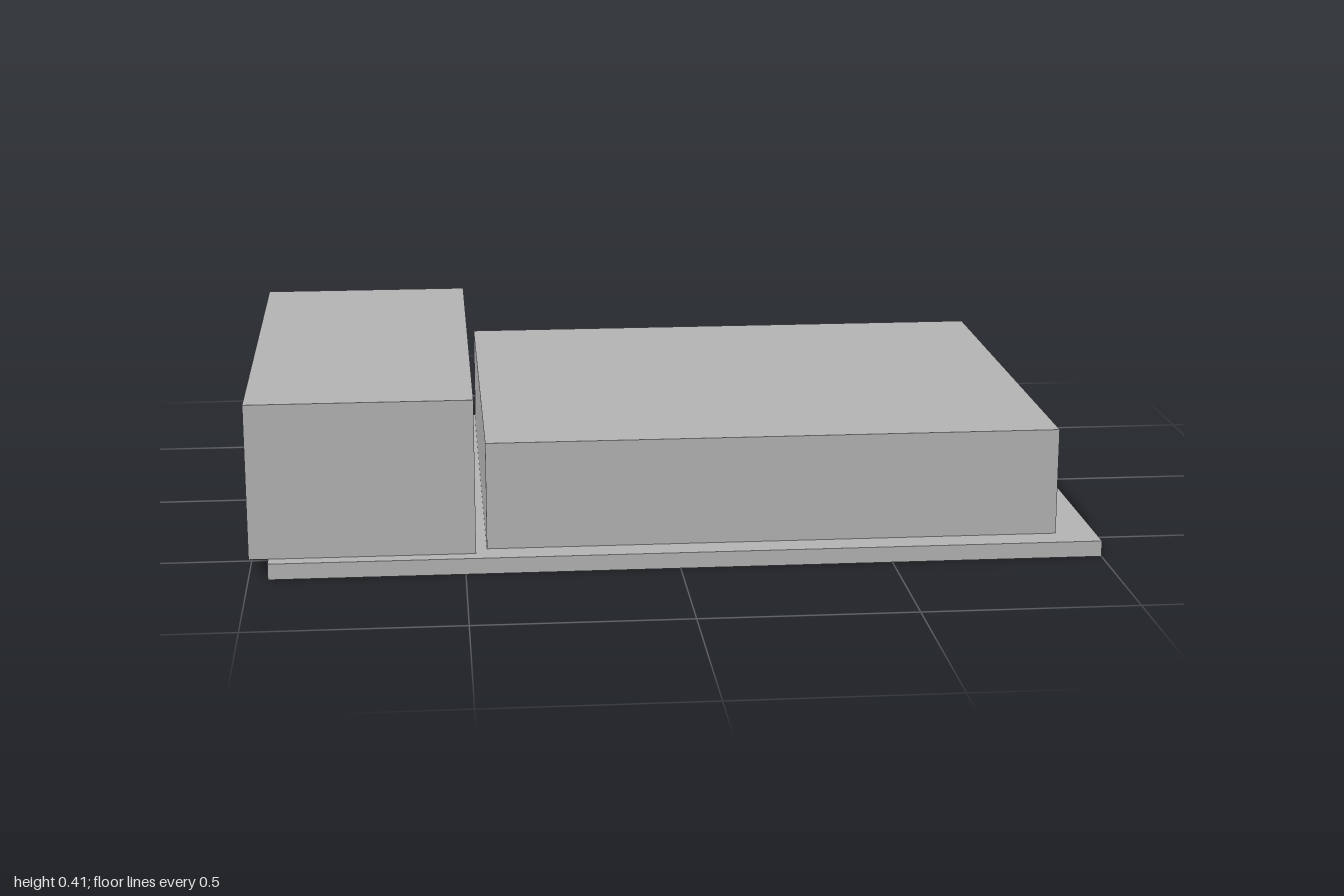
import * as THREE from 'three';

// Box given by its minimum and maximum along each axis
function block(name, [x0, x1], [y0, y1], [z0, z1], material) {
  const mesh = new THREE.Mesh(new THREE.BoxGeometry(x1 - x0, y1 - y0, z1 - z0), material);
  mesh.position.set((x0 + x1) / 2, (y0 + y1) / 2, (z0 + z1) / 2);
  mesh.name = name;
  return mesh;
}

export function createModel() {
  const grey = new THREE.MeshStandardMaterial({ color: 0xb2b2b2 });
  grey.name = 'light grey';

  const model = new THREE.Group();
  model.name = 'slabWithBlocks';
  const top = 0.038; // height of the base slab

  model.add(
    block('baseSlab', [-0.955, 1], [0, top], [-0.645, 0.645], grey),
    // Tall block overhangs the end of the slab
    block('tallBlock', [-1, -0.475], [top, 0.407], [-0.608, 0.608], grey),
    block('lowBlock', [-0.449, 0.905], [top, 0.294], [-0.575, 0.575], grey),
  );
  return model;
}
